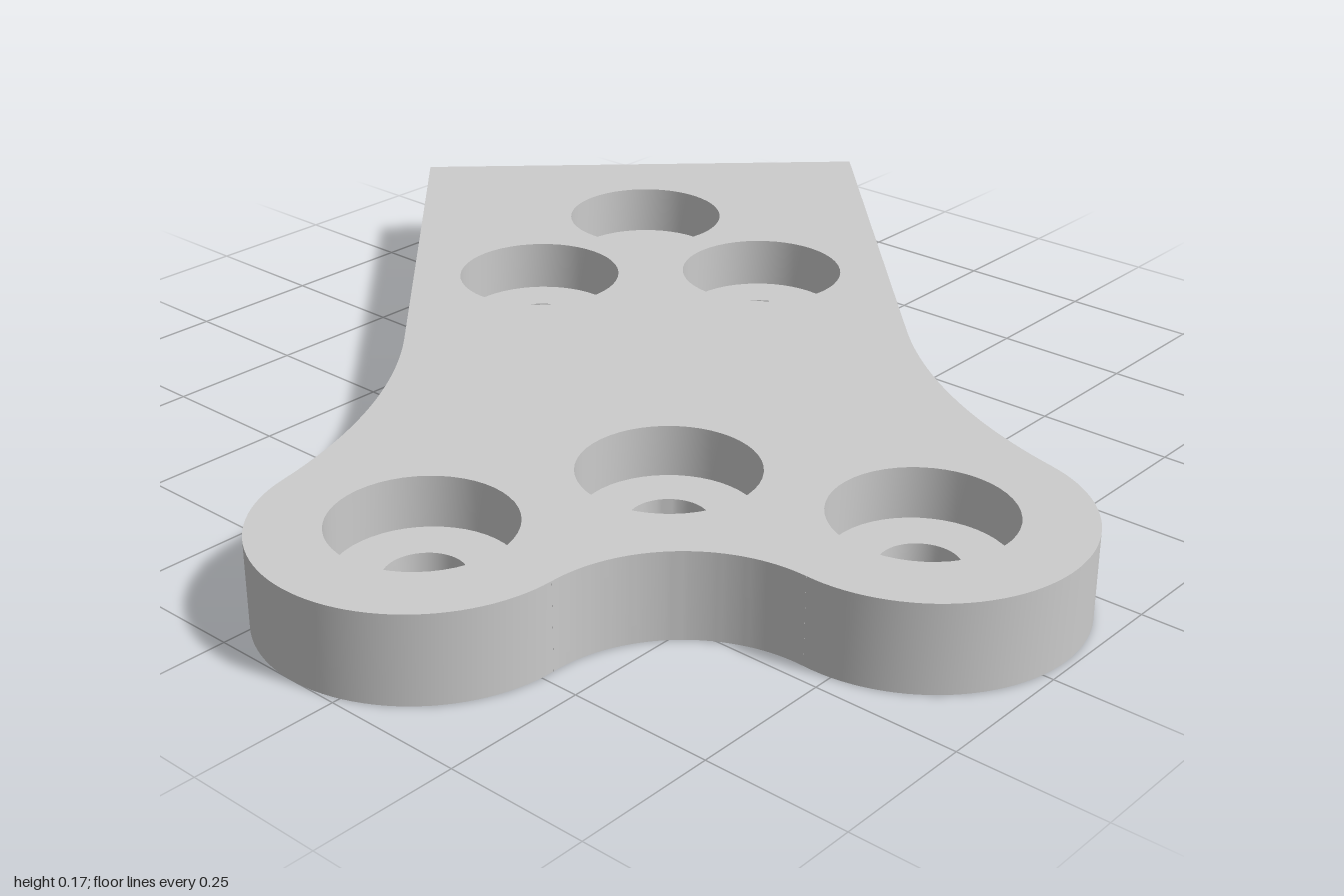
import * as THREE from 'three';
import { mergeGeometries, toCreasedNormals } from 'three/addons/utils/BufferGeometryUtils.js';

const THICK = 0.155, FLOOR = 0.063;        // plate thickness, height of the counterbore floor
const BORE = 0.067, COUNTERBORE = 0.152;   // hole radii
const END = 1.59, HALF = 0.455;            // straight end of the plate
const LOBE_V = 0.385, LOBE_R = 0.272;      // two rounded ears
const NECK_U = 0.688, NECK_R = 1.0;        // wide concave flanks
const DIP_U = -0.36, DIP_R = 0.255;        // hollow between the ears
const SEG = 24;

// Hole centres: three at the ears, three at the straight end
const HOLES = [[0, LOBE_V], [0, -LOBE_V], [0.163, 0], [0.982, 0.214], [0.982, -0.214], [1.283, 0]];

function outline() {
  const neckV = HALF + NECK_R;
  const neck = Math.atan2(neckV - LOBE_V, NECK_U);
  const dip = Math.atan2(LOBE_V, -DIP_U);
  const s = new THREE.Shape();
  s.moveTo(END, -HALF);
  s.lineTo(END, HALF);
  s.lineTo(NECK_U, HALF);
  s.absarc(NECK_U, neckV, NECK_R, -Math.PI / 2, neck - Math.PI, true);
  s.absarc(0, LOBE_V, LOBE_R, neck, dip + Math.PI, false);
  s.absarc(DIP_U, 0, DIP_R, dip, -dip, true);
  s.absarc(0, -LOBE_V, LOBE_R, Math.PI - dip, 2 * Math.PI - neck, false);
  s.absarc(NECK_U, -neckV, NECK_R, Math.PI - neck, Math.PI / 2, true);
  s.closePath();
  return s;
}

// Clockwise circle, used as a hole
function circle([u, v], r) {
  return new THREE.Path().absarc(u, v, r, 0, -Math.PI * 2, true);
}

// Flat face at height z, facing up or down
function face(shape, holes, z, down = false) {
  shape.holes = holes;
  const g = new THREE.ShapeGeometry(shape, SEG);
  g.translate(0, 0, z);
  if (down) g.setIndex(Array.from(g.index.array).reverse());
  g.deleteAttribute('uv');
  g.deleteAttribute('normal');
  return g.toNonIndexed();
}

// Upright wall along a closed path, facing to the right of travel
function wall(path, z0, z1) {
  const pts = path.getPoints(SEG), out = [];
  pts.forEach((a, i) => {
    const b = pts[(i + 1) % pts.length];
    if (a.distanceTo(b) < 1e-6) return;
    out.push(a.x, a.y, z0, b.x, b.y, z0, b.x, b.y, z1);
    out.push(a.x, a.y, z0, b.x, b.y, z1, a.x, a.y, z1);
  });
  const g = new THREE.BufferGeometry();
  g.setAttribute('position', new THREE.Float32BufferAttribute(out, 3));
  return g;
}

export function createModel() {
  const material = new THREE.MeshStandardMaterial({ color: 0xcccccc });
  const model = new THREE.Group();
  model.name = 'mountingPlate';

  // Tilted very slightly and turned to lie diagonally
  const plate = new THREE.Group();
  plate.name = 'plate';
  plate.position.set(-0.4625, 0.002, 0.4375);
  plate.rotation.set(0, THREE.MathUtils.degToRad(43.9), 0.006, 'YZX');
  model.add(plate);

  const add = (name, parts) => {
    const g = mergeGeometries(parts).rotateX(-Math.PI / 2);
    const mesh = new THREE.Mesh(toCreasedNormals(g, 0.6), material);
    mesh.name = name;
    plate.add(mesh);
  };

  // Plate body: top, underside and rim
  add('plateBody', [
    face(outline(), HOLES.map((c) => circle(c, COUNTERBORE)), THICK),
    face(outline(), HOLES.map((c) => circle(c, BORE)), 0, true),
    wall(outline(), 0, THICK),
  ]);

  // Counterbored screw holes
  HOLES.forEach((c, i) => {
    const disc = new THREE.Shape().absarc(c[0], c[1], COUNTERBORE, 0, Math.PI * 2, false);
    add(`screwHole${i + 1}`, [
      wall(circle(c, COUNTERBORE), FLOOR, THICK),
      face(disc, [circle(c, BORE)], FLOOR),
      wall(circle(c, BORE), 0, FLOOR),
    ]);
  });

  return model;
}
